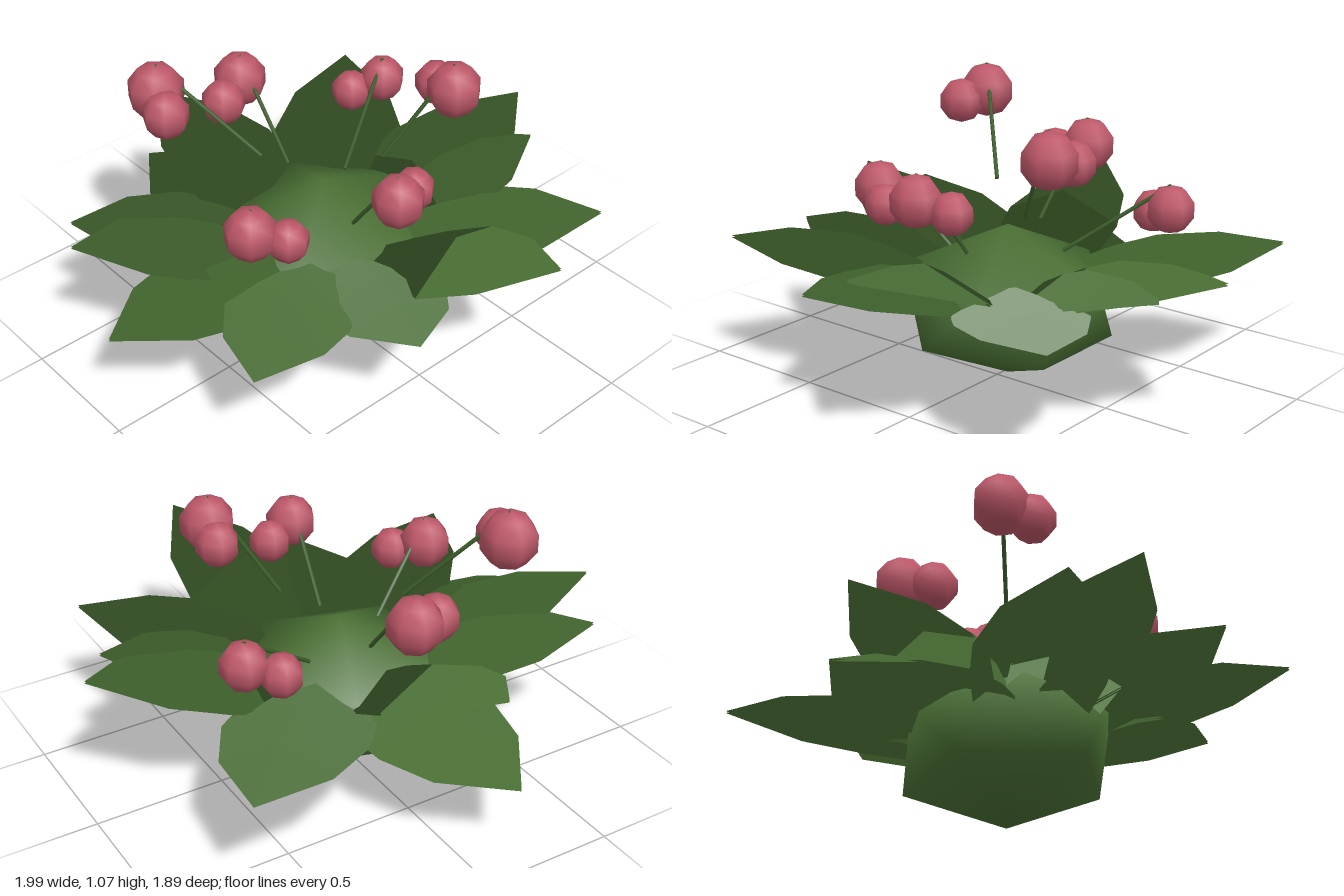
import * as THREE from 'three';
import { mergeVertices } from 'three/addons/utils/BufferGeometryUtils.js';

const mat = (name, color, side = THREE.FrontSide) => {
  const m = new THREE.MeshStandardMaterial({ color, side });
  m.name = name;
  return m;
};

// Squashed twelve-point ball standing on one point, with smooth normals
function bulbGeometry(radius, height) {
  const ball = new THREE.IcosahedronGeometry(radius, 0);
  ball.deleteAttribute('normal');
  ball.deleteAttribute('uv');
  const g = mergeVertices(ball);
  g.rotateZ(-Math.atan(2 / (1 + Math.sqrt(5))));
  g.scale(1.05, height / (2 * radius), 0.93);
  g.translate(0, height / 2, 0);
  g.computeVertexNormals();
  return g;
}

// Broad pointed leaf: a thin arched blade with drooping edges, from the bulb to its tip.
// Both skins carry soft outward normals, so the leaf blends into the bulb.
function leafGeometry(tip, width) {
  const reach = Math.hypot(tip[0], tip[2]);
  const dx = tip[0] / reach, dz = tip[2] / reach;
  const start = 0.25, baseY = 0.435, thick = 0.008;
  const rows = [[0, 0.21], [0.22, 0.25], [0.42, 0.26], [0.7, 0.195], [1, 0]]; // along, half width
  const pos = [], normals = [], index = [];
  const up = 0.5, len = Math.hypot(1, up);
  for (const skin of [0, 1]) {
    rows.forEach(([t, half], i) => {
      const r = start + (reach - start) * t;
      const y = baseY + (tip[1] - baseY) * t + 0.08 * Math.sin(Math.PI * t) - skin * thick;
      for (let j = -1; j <= 1; j++) {
        const w = j * half * width;
        pos.push(dx * r - dz * w, y - Math.abs(w) * 0.43, dz * r + dx * w);
        normals.push(dx / len, up / len, dz / len);
      }
      if (i === rows.length - 1) return;
      for (let j = 0; j < 2; j++) {
        const a = skin * rows.length * 3 + i * 3 + j, b = a + 1, c = a + 3, d = a + 4;
        if (skin) index.push(a, c, b, b, c, d);
        else index.push(a, b, c, b, d, c);
      }
    });
  }
  const g = new THREE.BufferGeometry();
  g.setAttribute('position', new THREE.Float32BufferAttribute(pos, 3));
  g.setAttribute('normal', new THREE.Float32BufferAttribute(normals, 3));
  g.setIndex(index);
  return g;
}

export function createModel() {
  const group = new THREE.Group();
  const leafGreen = mat('leaf green', 0x4a7034, THREE.DoubleSide);
  const stemGreen = mat('stem green', 0x3f612d);
  const berryRed = mat('berry rose', 0xbd5768);

  const add = (parent, name, geometry, material, p = [0, 0, 0]) => {
    const m = new THREE.Mesh(geometry, material);
    m.name = name;
    m.position.set(...p);
    parent.add(m);
    return m;
  };

  add(group, 'bulb', bulbGeometry(0.435, 0.59), leafGreen, [0.015, 0, -0.045]);

  // Leaves: tip position and width factor
  const leaves = [
    [[-0.15, 0.31, -0.95], 1.05], [[-0.13, 0.635, -0.88], 0.92],
    [[0.77, 0.49, -0.77], 1], [[0.99, 0.59, 0.02], 1],
    [[0.85, 0.55, 0.22], 0.85], [[0.74, 0.49, 0.68], 0.9],
    [[0.2, 0.67, 0.94], 0.95], [[-0.26, 0.475, 0.75], 0.95],
    [[-0.82, 0.53, 0.56], 0.9], [[-1, 0.435, 0], 0.9],
    [[-0.93, 0.62, -0.3], 0.85], [[-0.8, 0.54, -0.51], 0.95],
  ];
  for (const [tip, width] of leaves) add(group, 'leaf', leafGeometry(tip, width), leafGreen);

  // Berry pairs: stem foot, large berry, small berry, large and small radius
  const sprigs = [
    [[-0.16, 0.7, -0.2], [-0.42, 0.965, -0.46], [-0.46, 0.935, -0.35], 0.108, 0.088],
    [[0.01, 0.56, -0.25], [0.02, 0.795, -0.54], [-0.1, 0.765, -0.49], 0.105, 0.087],
    [[0.2, 0.5, -0.14], [0.55, 0.685, -0.31], [0.44, 0.645, -0.37], 0.09, 0.08],
    [[0.19, 0.68, 0.08], [0.4, 0.95, 0.22], [0.42, 0.92, 0.11], 0.104, 0.082],
    [[-0.02, 0.52, 0.15], [-0.04, 0.77, 0.4], [0.08, 0.735, 0.35], 0.098, 0.08],
    [[-0.2, 0.48, 0.03], [-0.47, 0.685, 0.12], [-0.37, 0.65, 0.2], 0.1, 0.08],
  ];
  const up = new THREE.Vector3(0, 1, 0);
  for (const [foot, big, small, rBig, rSmall] of sprigs) {
    const sprig = new THREE.Group();
    sprig.name = 'sprig';
    group.add(sprig);
    const a = new THREE.Vector3(...foot);
    const b = new THREE.Vector3(big[0], big[1] + rBig * 0.97, big[2]);
    const dir = b.clone().sub(a);
    const stem = add(sprig, 'stem', new THREE.CylinderGeometry(0.008, 0.008, dir.length(), 5), stemGreen,
      a.clone().add(b).multiplyScalar(0.5).toArray());
    stem.quaternion.setFromUnitVectors(up, dir.normalize());
    add(sprig, 'largeBerry', new THREE.SphereGeometry(rBig, 7, 5), berryRed, big);
    add(sprig, 'smallBerry', new THREE.SphereGeometry(rSmall, 7, 5), berryRed, small);
  }
  return group;
}
